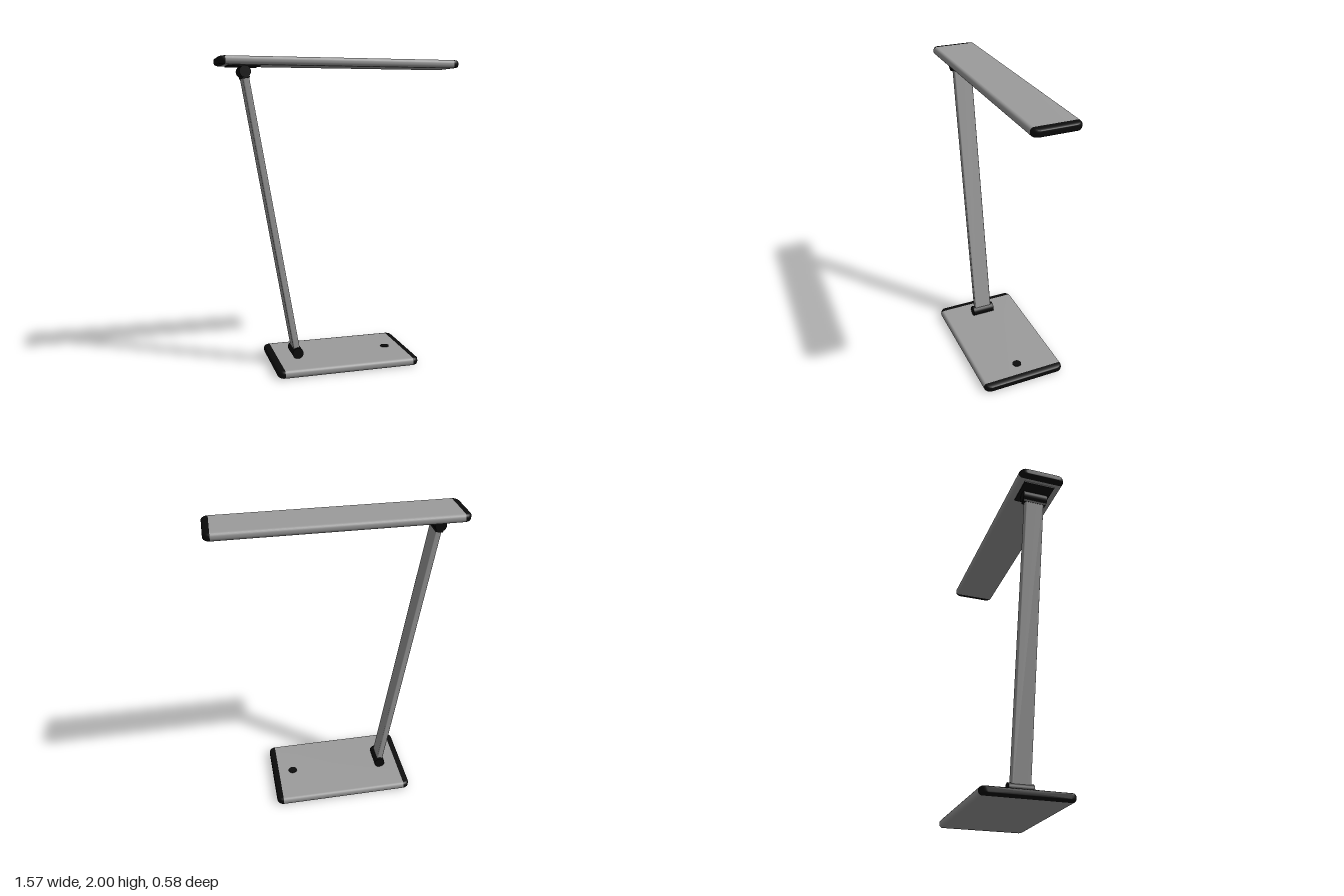
import * as THREE from 'three';

const grey = new THREE.MeshStandardMaterial({ color: 0x9c9c9c });
grey.name = 'brushed grey';
const black = new THREE.MeshStandardMaterial({ color: 0x0b0b0b });
black.name = 'black plastic';

// Rounded rectangle in z and y: half width hz, half height hy, corner radius r
function ring(hz, hy, r) {
  const points = [];
  const steps = 5;
  for (let c = 0; c < 4; c++) {
    const sz = c === 0 || c === 3 ? 1 : -1;
    const sy = c < 2 ? 1 : -1;
    for (let i = 0; i <= steps; i++) {
      const a = (c + i / steps) * Math.PI / 2;
      points.push([sz * (hz - r) + r * Math.cos(a), sy * (hy - r) + r * Math.sin(a)]);
    }
  }
  return points;
}

// Skin over sections [x, hz, hy, r] running towards +x, optionally closed at the far end
function loft(sections, closed) {
  const pos = [], index = [];
  let n = 0;
  for (const [x, hz, hy, r] of sections) {
    const pts = ring(hz, hy, r);
    n = pts.length;
    for (const [z, y] of pts) pos.push(x, y, z);
  }
  for (let s = 0; s < sections.length - 1; s++) {
    for (let i = 0; i < n; i++) {
      const j = (i + 1) % n;
      const a = s * n + i, b = s * n + j;
      index.push(a, a + n, b, b, a + n, b + n);
    }
  }
  if (closed) {
    const last = (sections.length - 1) * n;
    const center = pos.length / 3;
    pos.push(sections[sections.length - 1][0], 0, 0);
    for (let i = 0; i < n; i++) index.push(center, last + (i + 1) % n, last + i);
  }
  const g = new THREE.BufferGeometry();
  g.setAttribute('position', new THREE.Float32BufferAttribute(pos, 3));
  g.setIndex(index);
  g.computeVertexNormals();
  return g;
}

function add(parent, name, geometry, material, x = 0, y = 0, z = 0) {
  const mesh = new THREE.Mesh(geometry, material);
  mesh.name = name;
  mesh.position.set(x, y, z);
  parent.add(mesh);
  return mesh;
}

// Flat grey slab with rounded black end caps
function slab(name, halfLength, hz, y) {
  const group = new THREE.Group();
  group.name = name;
  group.position.y = y;
  const hy = 0.026, r = 0.022, cap = 0.042;
  const body = halfLength - cap;
  add(group, name + 'Body', loft([[-body, hz, hy, r], [body, hz, hy, r]], false), grey);

  const sections = [];
  for (let i = 0; i <= 6; i++) {
    const a = i / 6 * Math.PI / 2;
    const inset = cap * (1 - Math.cos(a));
    const h = hy - 0.3 * inset;
    sections.push([body + cap * Math.sin(a), hz - inset, h, Math.min(r, h * 0.85)]);
  }
  const capGeometry = loft(sections, true);
  add(group, name + 'LeftCap', capGeometry, black);
  add(group, name + 'RightCap', capGeometry, black).rotation.y = Math.PI;
  return group;
}

export function createModel() {
  const lamp = new THREE.Group();
  lamp.name = 'deskLamp';

  // Base and lamp head
  lamp.add(slab('base', 0.472, 0.288, 0.026));
  lamp.add(slab('head', 0.786, 0.147, 1.974));

  // Touch button on the base and mounting plate under the head
  add(lamp, 'button', new THREE.CylinderGeometry(0.03, 0.03, 0.006, 24), black, 0.33, 0.053, 0);
  add(lamp, 'mountingPlate', new THREE.BoxGeometry(0.195, 0.009, 0.2), black, -0.623, 1.946, 0);

  // Leaning arm between the two hinges
  const low = new THREE.Vector2(-0.302, 0.086);
  const high = new THREE.Vector2(-0.617, 1.912);
  const along = high.clone().sub(low);
  const length = along.length();
  const arm = new THREE.Group();
  arm.name = 'arm';
  arm.position.set(low.x, low.y, 0);
  arm.rotation.z = along.angle();
  lamp.add(arm);
  add(arm, 'armBar', loft([[0, 0.062, 0.021, 0.009], [length, 0.062, 0.021, 0.009]], false), grey);
  add(arm, 'upperCollar', new THREE.BoxGeometry(0.04, 0.046, 0.15), black, length - 0.022, 0, 0);

  // Hinge barrels across the arm
  for (const [name, p] of [['lowerHinge', low], ['upperHinge', high]]) {
    const barrel = new THREE.CylinderGeometry(0.036, 0.036, 0.158, 20);
    add(lamp, name, barrel, black, p.x, p.y, 0).rotation.x = Math.PI / 2;
  }
  return lamp;
}
